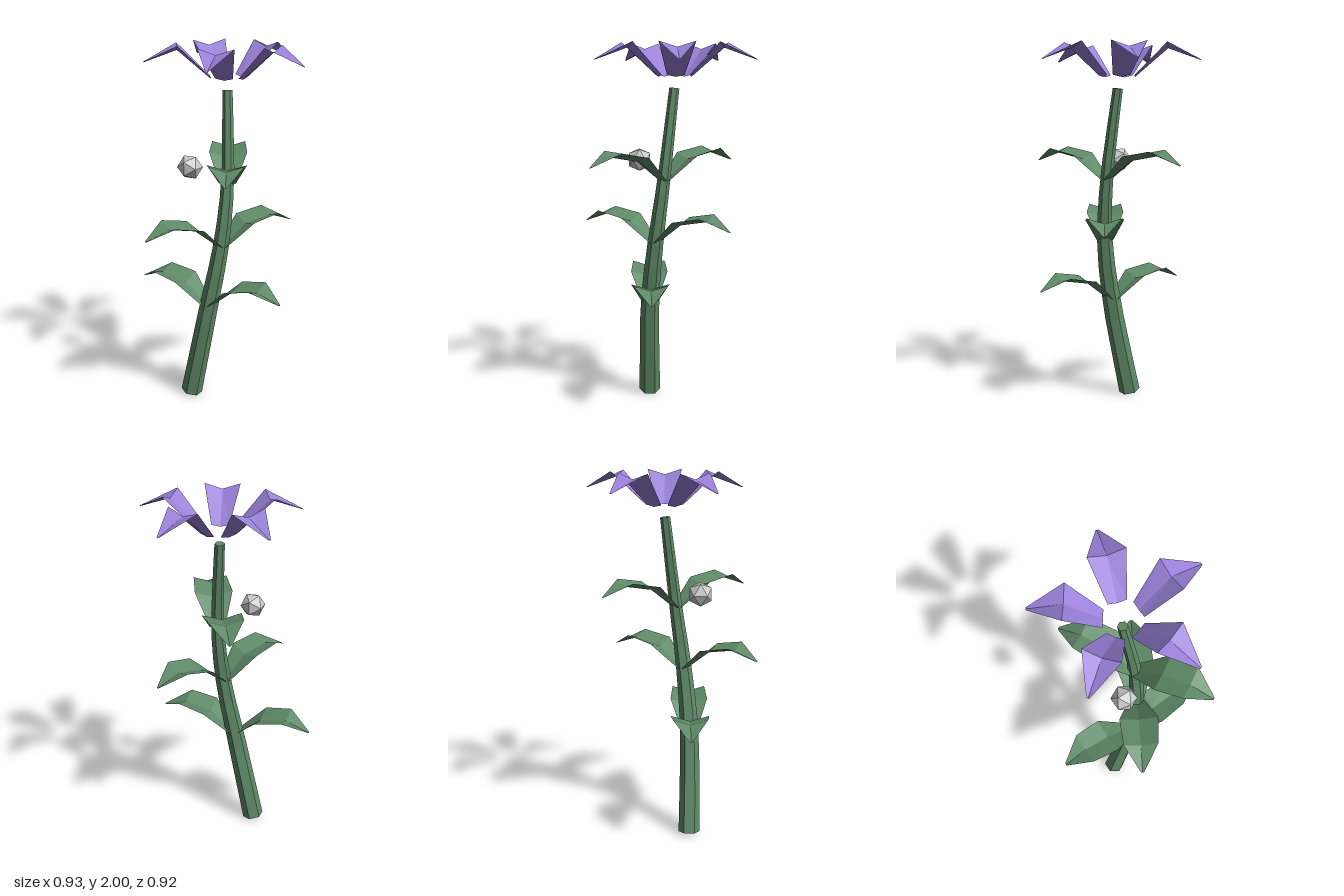
import * as THREE from 'three';

const stemGreen = new THREE.MeshStandardMaterial({ color: 0x5f8a68 });
stemGreen.name = 'stem green';
const leafGreen = new THREE.MeshStandardMaterial({ color: 0x5f8a68, side: THREE.DoubleSide });
leafGreen.name = 'leaf green';
const petalPurple = new THREE.MeshStandardMaterial({ color: 0x9a80d9, side: THREE.DoubleSide });
petalPurple.name = 'petal purple';
const beadGrey = new THREE.MeshStandardMaterial({ color: 0xcccccc });
beadGrey.name = 'bead grey';

// Faceted geometry from points and triangle indices
function faceted(points, index) {
  const indexed = new THREE.BufferGeometry().setFromPoints(points);
  indexed.setIndex(index);
  const geometry = indexed.toNonIndexed();
  geometry.computeVertexNormals();
  return geometry;
}

// Folded blade along +x; each section is [reach, halfWidth, edgeHeight, creaseHeight]
function bladeGeometry(sections) {
  const points = [];
  const index = [];
  sections.forEach(([r, w, edge, crease], i) => {
    points.push(
      new THREE.Vector3(r, edge, -w),
      new THREE.Vector3(r, crease, 0),
      new THREE.Vector3(r, edge, w)
    );
    if (i === 0) return;
    for (let j = 0; j < 2; j++) {
      const a = (i - 1) * 3 + j;
      const c = i * 3 + j;
      index.push(a, a + 1, c, a + 1, c + 1, c);
    }
  });
  return faceted(points, index);
}

// Tapered six-sided stem following a curve, closed at both ends
function stemGeometry(curve, r0, r1, rings = 10, sides = 6) {
  const points = [];
  const index = [];
  for (let i = 0; i <= rings; i++) {
    const t = i / rings;
    const centre = curve.getPoint(t);
    const tangent = curve.getTangent(t);
    const v = new THREE.Vector3().crossVectors(tangent, new THREE.Vector3(0, 0, 1)).normalize();
    const u = new THREE.Vector3().crossVectors(v, tangent).normalize();
    const r = r0 + (r1 - r0) * t;
    for (let s = 0; s < sides; s++) {
      const a = (s / sides) * Math.PI * 2;
      points.push(centre.clone()
        .addScaledVector(u, r * Math.cos(a))
        .addScaledVector(v, r * Math.sin(a)));
      if (i === rings) continue;
      const p = i * sides + s;
      const q = i * sides + (s + 1) % sides;
      index.push(p, q, q + sides, p, q + sides, p + sides);
    }
  }
  const top = rings * sides;
  for (let s = 1; s < sides - 1; s++) {
    index.push(0, s + 1, s, top, top + s, top + s + 1);
  }
  return faceted(points, index);
}

export function createModel() {
  const model = new THREE.Group();
  model.name = 'flower';

  function add(parent, name, geometry, material) {
    const mesh = new THREE.Mesh(geometry, material);
    mesh.name = name;
    parent.add(mesh);
    return mesh;
  }

  // Stem
  const nodes = [
    new THREE.Vector3(-0.14, 0.012, 0.1),
    new THREE.Vector3(-0.02, 0.565, 0.1),
    new THREE.Vector3(0.04, 0.915, 0.07),
    new THREE.Vector3(0.055, 1.26, 0.025),
    new THREE.Vector3(0.018, 1.76, -0.034),
  ];
  add(model, 'stem', stemGeometry(new THREE.CatmullRomCurve3(nodes), 0.06, 0.027), stemGreen);

  // Three opposite pairs of leaves, turned 120 degrees from pair to pair
  const leaf = bladeGeometry([
    [0.01, 0.045, 0.01, 0],
    [0.155, 0.105, 0.145, 0.115],
    [0.31, 0.093, 0.175, 0.145],
    [0.445, 0.008, 0.1, 0.097],
  ]);
  for (let pair = 0; pair < 3; pair++) {
    for (let side = 0; side < 2; side++) {
      const mesh = add(model, 'leaf', leaf, leafGreen);
      mesh.position.copy(nodes[pair + 1]);
      mesh.rotation.y = -(pair * 2 / 3 + side) * Math.PI;
    }
  }

  // Ring of five petals
  const blossom = new THREE.Group();
  blossom.name = 'blossom';
  blossom.position.set(0.02, 1.82, -0.037);
  model.add(blossom);
  const petal = bladeGeometry([
    [0.092, 0.047, 0.01, 0],
    [0.268, 0.095, 0.18, 0.15],
    [0.445, 0.007, 0.09, 0.087],
  ]);
  for (let i = 0; i < 5; i++) {
    add(blossom, 'petal', petal, petalPurple).rotation.y = (i / 5) * Math.PI * 2;
  }

  // Small bead floating beside the stem
  add(model, 'bead', new THREE.IcosahedronGeometry(0.069, 0), beadGrey)
    .position.set(-0.1, 1.365, 0.154);

  return model;
}
